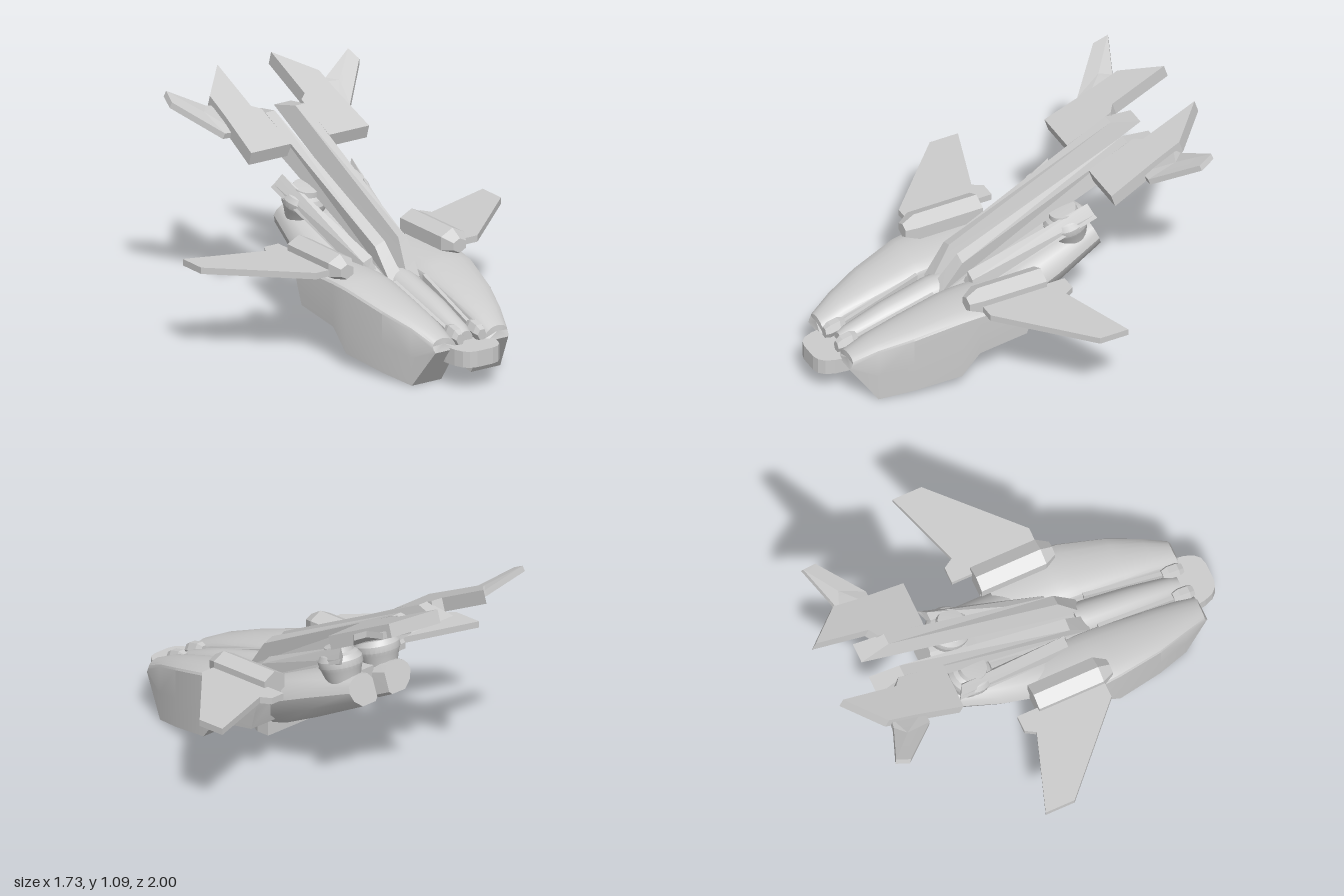
import * as THREE from 'three';
import { toCreasedNormals } from 'three/addons/utils/BufferGeometryUtils.js';

const material = new THREE.MeshStandardMaterial({ color: 0xcccccc });

// Closed solid through a list of equal-length loops of [x, y, z], capped at both ends
function loft(loops, crease = 0.45) {
  const tris = [];
  const n = loops[0].length;
  const centre = (l) => [0, 1, 2].map((k) => l.reduce((s, p) => s + p[k], 0) / n);
  for (let i = 0; i + 1 < loops.length; i++) {
    for (let j = 0; j < n; j++) {
      const k = (j + 1) % n, a = loops[i], b = loops[i + 1];
      tris.push([a[j], a[k], b[k]], [a[j], b[k], b[j]]);
    }
  }
  const first = loops[0], last = loops[loops.length - 1];
  const c0 = centre(first), c1 = centre(last);
  for (let j = 0; j < n; j++) {
    const k = (j + 1) % n;
    tris.push([c0, first[k], first[j]], [c1, last[j], last[k]]);
  }
  // Turn the faces outward if the enclosed volume comes out negative
  let volume = 0;
  const v = (p) => new THREE.Vector3(...p);
  for (const [a, b, c] of tris) volume += v(a).dot(v(b).cross(v(c)));
  if (volume < 0) tris.forEach((t) => t.reverse());
  const g = new THREE.BufferGeometry();
  g.setAttribute('position', new THREE.Float32BufferAttribute(tris.flat(2), 3));
  return toCreasedNormals(g, crease);
}

// Plate through a loop of points, thickened by an offset
const slab = (pts, off) => loft([pts, pts.map((p) => p.map((c, i) => c + off[i]))], 0.1);

// Horizontal plate from an [x, z] outline
function flatPlate(outline, top, thickness) {
  const shape = new THREE.Shape(outline.map(([x, z]) => new THREE.Vector2(x, z)));
  return new THREE.ExtrudeGeometry(shape, { depth: thickness, bevelEnabled: false })
    .rotateX(Math.PI / 2).translate(0, top, 0);
}

function mirrored(geometry) {
  const g = geometry.index ? geometry.toNonIndexed() : geometry.clone();
  g.scale(-1, 1, 1);
  for (const name of ['position', 'normal']) {
    const a = g.attributes[name];
    for (let i = 0; i < a.count; i += 3) {
      for (let k = 0; k < 3; k++) {
        const t = a.getComponent(i, k);
        a.setComponent(i, k, a.getComponent(i + 1, k));
        a.setComponent(i + 1, k, t);
      }
    }
  }
  return g;
}

export function createModel() {
  const model = new THREE.Group();
  const add = (name, geometry) => {
    const mesh = new THREE.Mesh(geometry, material);
    mesh.name = name;
    model.add(mesh);
  };
  const pair = (name, geometry) => {
    add(name + 'Left', geometry);
    add(name + 'Right', mirrored(geometry));
  };

  // Front hulls: flat sides, domed top; rows are zBottom, zTop, yBottom, yMiddle, yEdge, xOut
  const hullRows = [
    [0.89, 0.875, 0.19, 0.205, 0.22, 0.215],
    [0.76, 0.76, 0.0, 0.14, 0.275, 0.26],
    [0.6, 0.6, 0.03, 0.18, 0.325, 0.315],
    [0.37, 0.37, 0.07, 0.22, 0.385, 0.365],
    [0.28, 0.28, 0.18, 0.28, 0.395, 0.375],
    [0.035, -0.02, 0.22, 0.31, 0.4, 0.385],
  ];
  pair('frontHull', loft(hullRows.map(([zb, zt, yb, ym, ye, xo]) => {
    const xi = 0.085, mid = (xo + xi) / 2, half = (xo - xi) / 2;
    const loop = [[xi, yb, zb], [xo - 0.005, yb, zb], [xo, ym, (zb + zt) / 2]];
    for (let i = 0; i <= 10; i++) {
      const a = (i / 10) * Math.PI;
      loop.push([mid + half * Math.cos(a), ye - 0.02 * (i / 10) + 0.042 * Math.sin(a), zt]);
    }
    return loop;
  })));

  // Keel plate with a rounded nose and a widened tail
  const side = [[0.22, 0.08], [0.22, 0.15], [0.125, 0.34], [0.13, 0.86],
    [0.122, 0.92], [0.105, 0.965], [0.08, 0.99], [0.045, 1]];
  add('keelPlate', flatPlate(
    [...side, ...side.map(([x, z]) => [-x, z]).reverse()], 0.2, 0.08));

  // Canopy: a tapering tube sloping down to the nose
  const ring = (z, y, r) => Array.from({ length: 24 }, (_, i) => {
    const a = (i / 24) * 2 * Math.PI;
    return [r * Math.cos(a), y + r * Math.sin(a), z];
  });
  add('canopy', loft([ring(0.3, 0.325, 0.08), ring(0.36, 0.315, 0.082), ring(0.6, 0.265, 0.07),
    ring(0.8, 0.215, 0.052), ring(0.84, 0.205, 0.04)]));

  // Rectangular section used by beams and the spine
  const rect = (x0, x1, y0, y1, z) => [[x0, y0, z], [x1, y0, z], [x1, y1, z], [x0, y1, z]];
  pair('canopyRail', loft([rect(0.075, 0.095, 0.3, 0.38, 0.38), rect(0.055, 0.075, 0.18, 0.25, 0.8)]));

  // Nose guns
  const gun = (z, y, r) => Array.from({ length: 6 }, (_, i) => {
    const a = (i / 6) * 2 * Math.PI;
    return [0.062 + r * Math.cos(a), y + r * 1.2 * Math.sin(a), z];
  });
  pair('noseGun', loft([gun(0.78, 0.25, 0.022), gun(0.81, 0.245, 0.034),
    gun(0.86, 0.235, 0.034), gun(0.885, 0.228, 0.024)], 0.1));

  // Central spine joining the hulls and the rear pods
  add('spine', loft([rect(-0.1, 0.1, 0.17, 0.33, 0.42), rect(-0.13, 0.13, 0.18, 0.42, 0.1),
    rect(-0.08, 0.08, 0.32, 0.53, -0.25), rect(-0.04, 0.04, 0.4, 0.54, -0.36)], 0.1));

  // Rear engine pods: rounded top, chamfered belly, leaning end face
  const podRows = [
    [0.12, 0.08, 0.17, 0.42, 0.01, 0.3],
    [0.0, -0.04, 0.2, 0.47, 0.01, 0.285],
    [-0.2, -0.2, 0.29, 0.52, 0.015, 0.265],
    [-0.47, -0.42, 0.42, 0.56, 0.04, 0.205],
  ];
  pair('enginePod', loft(podRows.map(([zb, zt, yb, yt, xi, xo]) => {
    const w = xo - xi, h = yt - yb;
    const at = (u, t) => [xi + w * u, yb + h * t, zb + (zt - zb) * t];
    return [at(0, 0.1), at(0.1, 0), at(0.62, 0), at(0.9, 0.25), at(1, 0.55), at(0.95, 0.75),
      at(0.82, 0.9), at(0.65, 0.98), at(0.4, 1), at(0.15, 0.95), at(0, 0.75)];
  }), 0.6));

  // Turbine discs lying on the pods
  const discProfile = [[0, -0.09], [0.08, -0.09], [0.098, -0.03], [0.108, -0.01], [0.108, 0.02],
    [0.092, 0.045], [0.072, 0.055], [0.066, 0.08], [0, 0.085]].map((p) => new THREE.Vector2(...p));
  const disc = toCreasedNormals(new THREE.LatheGeometry(discProfile, 28), 0.5)
    .rotateX(0.25).translate(0.125, 0.595, -0.305);
  pair('turbineDisc', disc);

  // Long tail booms: tapered section, slanted ends
  pair('tailBoom', loft([
    [[0.01, 0.36, 0.35], [0.085, 0.36, 0.34], [0.095, 0.51, 0.23], [0.04, 0.53, 0.23]],
    [[0.04, 0.9, -0.79], [0.14, 0.9, -0.79], [0.115, 0.934, -0.64], [0.06, 0.934, -0.64]],
  ], 0.1));

  // Splayed braces beside the booms
  pair('brace', loft([
    [[0.07, 0.36, 0.22], [0.15, 0.36, 0.2], [0.14, 0.43, 0.2], [0.09, 0.45, 0.2]],
    [[0.15, 0.6, -0.36], [0.245, 0.655, -0.41], [0.235, 0.67, -0.4], [0.2, 0.72, -0.38]],
  ], 0.1));

  // Tail plates and their raised outer fins
  const slope = ([x, z]) => [x, 0.842 + 0.463 * (-0.447 - z), z];
  pair('tailPlate', slab([[0.155, -0.975], [0.315, -0.81], [0.32, -0.68], [0.34, -0.435],
    [0.11, -0.435], [0.115, -0.67], [0.155, -0.7]].map(slope), [0, -0.065, -0.02]));
  pair('tailFin', slab([[0.29, 0.96, -0.79], [0.345, 0.97, -0.8], [0.525, 1.06, -0.87],
    [0.54, 1.025, -0.8], [0.36, 0.885, -0.62], [0.29, 0.88, -0.62]], [0.008, -0.028, -0.008]));

  // Hexagonal wing-root pods with bevelled noses
  const hex = (z, r, drop = 0) => Array.from({ length: 6 }, (_, i) => {
    const a = ((i + 0.5) / 6) * 2 * Math.PI;
    return [0.325 + r * 1.15 * Math.cos(a), 0.465 - drop + r * Math.sin(a), z];
  });
  pair('wingPod', loft([hex(0.33, 0.036, 0.005), hex(0.27, 0.067), hex(-0.065, 0.067)], 0.1));
  pair('wingPylon', new THREE.BoxGeometry(0.09, 0.08, 0.24).translate(0.325, 0.415, 0.055));

  // Flat swept wings
  pair('wing', flatPlate([[0.37, -0.17], [0.45, -0.17], [0.48, -0.12], [0.865, -0.25],
    [0.865, -0.1], [0.465, 0.275], [0.37, 0.275]], 0.467, 0.032));

  return model;
}
